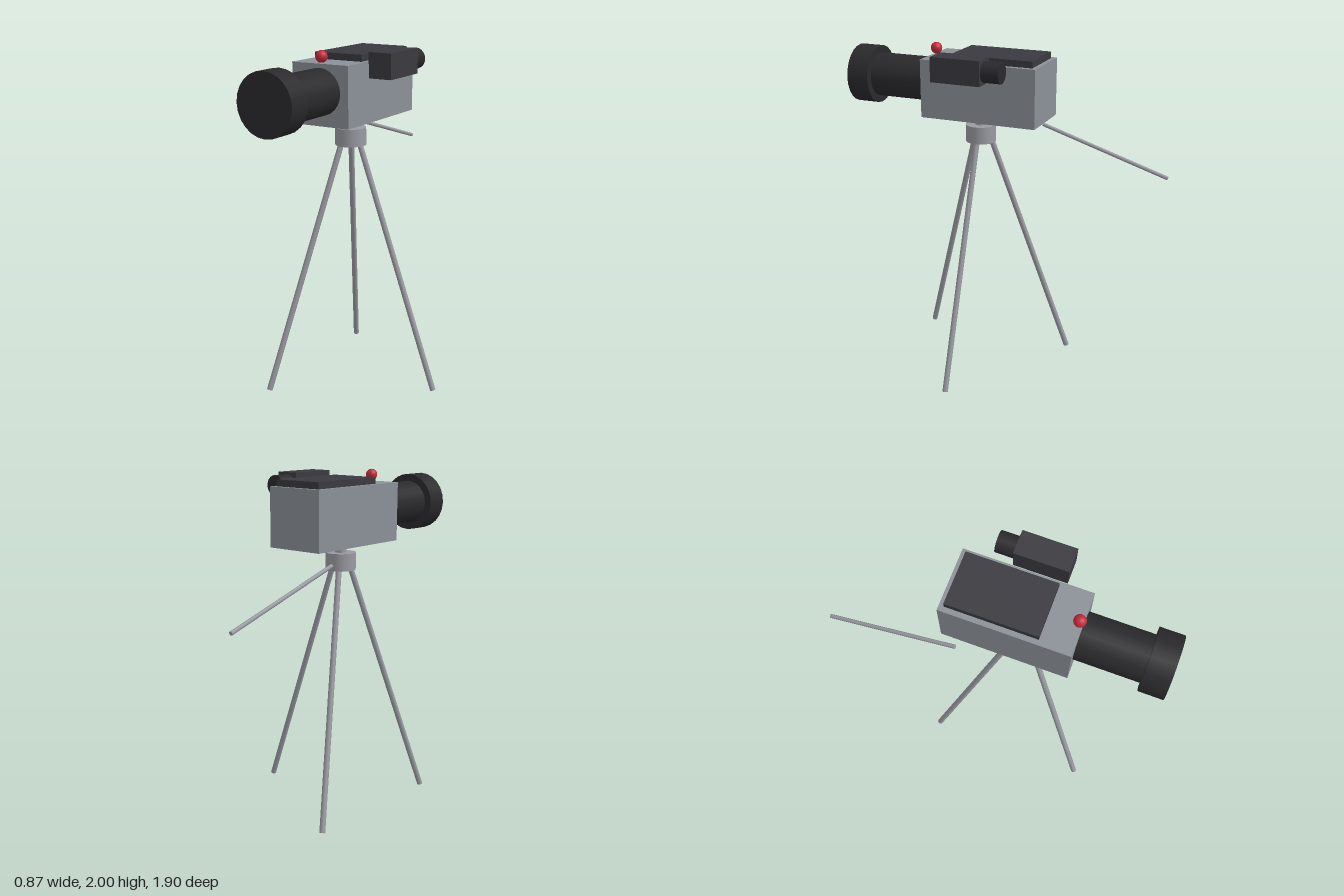
import * as THREE from 'three';

export function createModel() {
  const model = new THREE.Group();
  model.name = 'tripodCamera';

  const material = (name, color) => {
    const m = new THREE.MeshStandardMaterial({ color });
    m.name = name;
    return m;
  };
  const bodyGrey = material('bodyGrey', 0x8b9198);
  const darkGrey = material('darkGrey', 0x3a393f);
  const lensBlack = material('lensBlack', 0x2a2a2d);
  const metal = material('metal', 0x9a9ba2);
  const red = material('red', 0xc22a38);

  const add = (name, geometry, mat) => {
    const mesh = new THREE.Mesh(geometry, mat);
    mesh.name = name;
    model.add(mesh);
    return mesh;
  };
  // box given by its lower and upper corners
  const box = (name, mat, [x0, y0, z0], [x1, y1, z1]) =>
    add(name, new THREE.BoxGeometry(x1 - x0, y1 - y0, z1 - z0), mat)
      .position.set((x0 + x1) / 2, (y0 + y1) / 2, (z0 + z1) / 2);
  // round bar between two points
  const rod = (name, mat, from, to, radius, sides) => {
    const a = new THREE.Vector3(...from);
    const b = new THREE.Vector3(...to);
    const dir = b.clone().sub(a);
    const mesh = add(name, new THREE.CylinderGeometry(radius, radius, dir.length(), sides), mat);
    mesh.position.copy(a).add(b).multiplyScalar(0.5);
    mesh.quaternion.setFromUnitVectors(new THREE.Vector3(0, 1, 0), dir.normalize());
  };

  const cx = -0.143; // centre line of the camera
  const cz = 0.151; // tripod axis

  // camera body and top plate
  box('body', bodyGrey, [-0.323, 1.587, -0.255], [0.037, 1.929, 0.455]);
  box('topPlate', darkGrey, [-0.294, 1.925, -0.228], [0.01, 1.967, 0.275]);

  // lens
  rod('lensBarrel', lensBlack, [cx, 1.777, 0.44], [cx, 1.777, 0.83], 0.13, 24);
  rod('lensHood', lensBlack, [cx, 1.777, 0.815], [cx, 1.777, 0.952], 0.173, 24);

  // viewfinder beside the body
  box('viewfinder', darkGrey, [0.074, 1.847, 0.003], [0.212, 1.989, 0.303]);
  rod('eyepiece', lensBlack, [0.143, 1.918, 0.01], [0.143, 1.918, -0.102], 0.06, 20);

  // signal light
  add('signalLight', new THREE.SphereGeometry(0.034, 20, 14), red).position.set(cx, 1.966, 0.435);

  // tripod head
  rod('tripodNeck', metal, [cx, 1.52, cz], [cx, 1.595, cz], 0.034, 16);
  rod('tripodHead', metal, [cx, 1.431, cz], [cx, 1.533, cz], 0.09, 24);

  // three splayed legs
  for (let i = 0; i < 3; i++) {
    const angle = (i * Math.PI * 2) / 3;
    const at = (r, y) => [cx + r * Math.cos(angle), y, cz + r * Math.sin(angle)];
    rod('tripodLeg', metal, at(0.058, 1.45), at(0.558, 0.006), 0.017, 10);
  }

  // pan handle
  rod('panHandle', metal, [-0.344, 1.5135, -0.17], [-0.344, 1.2725, -0.946], 0.0115, 10);

  return model;
}
